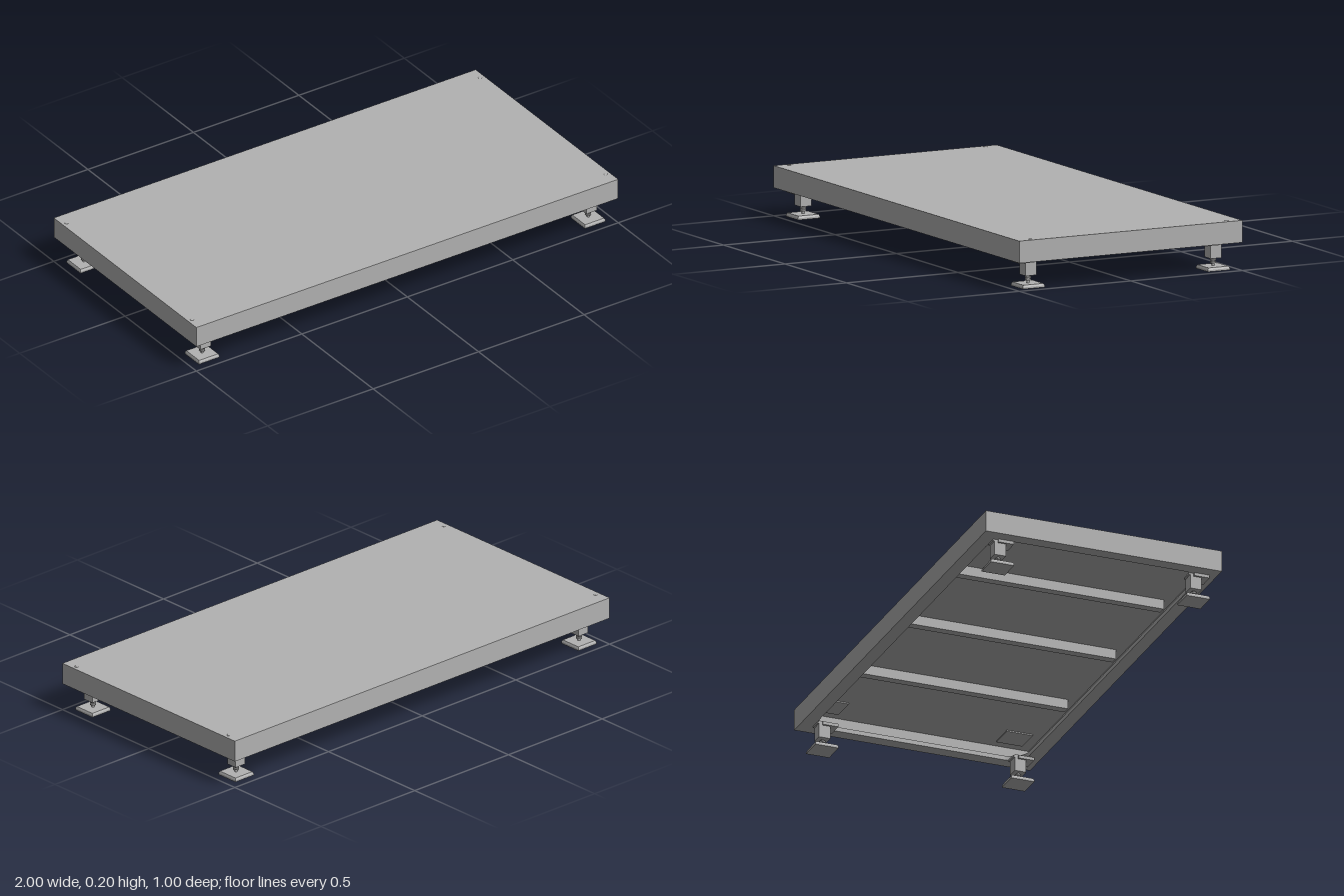
import * as THREE from 'three';

export function createModel() {
  const model = new THREE.Group();
  model.name = 'platform';
  const steel = new THREE.MeshStandardMaterial({ color: 0xb2b2b2 });
  steel.name = 'grey steel';

  const add = (parent, name, geometry, x, y, z) => {
    const mesh = new THREE.Mesh(geometry, steel);
    mesh.name = name;
    mesh.position.set(x, y, z);
    parent.add(mesh);
    return mesh;
  };
  const box = (parent, name, w, h, d, x, y, z) =>
    add(parent, name, new THREE.BoxGeometry(w, h, d), x, y, z);

  // Deck and its hollow skirt
  box(model, 'deck', 2, 0.012, 1, 0, 0.194, 0);
  for (const s of [-1, 1]) {
    box(model, 'longSkirt', 2, 0.076, 0.012, 0, 0.15, s * 0.494);
    box(model, 'endSkirt', 0.012, 0.076, 0.976, s * 0.994, 0.15, 0);
  }

  // Inward lip along the lower edge, rounded at the corners
  const lip = new THREE.Shape([
    new THREE.Vector2(-1, -0.5), new THREE.Vector2(1, -0.5),
    new THREE.Vector2(1, 0.5), new THREE.Vector2(-1, 0.5),
  ]);
  const X = 0.945, Z = 0.445, R = 0.08;
  const opening = new THREE.Path();
  opening.absarc(X - R, Z - R, R, 0, Math.PI / 2);
  opening.absarc(-X + R, Z - R, R, Math.PI / 2, Math.PI);
  opening.absarc(-X + R, -Z + R, R, Math.PI, Math.PI * 1.5);
  opening.absarc(X - R, -Z + R, R, Math.PI * 1.5, Math.PI * 2);
  opening.closePath();
  lip.holes.push(opening);
  const lipGeometry = new THREE.ExtrudeGeometry(lip, { depth: 0.018, bevelEnabled: false, curveSegments: 8 });
  lipGeometry.rotateX(-Math.PI / 2);
  add(model, 'lowerLip', lipGeometry, 0, 0.112, 0);

  // Cross beams under the deck
  for (const x of [-0.5, 0, 0.5]) box(model, 'crossBeam', 0.035, 0.04, 0.9, x, 0.168, 0);

  // Levelling feet
  for (const sx of [-1, 1]) {
    for (const sz of [-1, 1]) {
      const foot = new THREE.Group();
      foot.name = 'levellingFoot';
      foot.position.set(sx * 0.915, 0, sz * 0.415);
      model.add(foot);

      box(foot, 'footPlate', 0.098, 0.007, 0.098, 0, 0.0035, 0);
      const taper = new THREE.CylinderGeometry(0.045 * Math.SQRT2, 0.049 * Math.SQRT2, 0.008, 4).toNonIndexed();
      taper.rotateY(Math.PI / 4);
      taper.computeVertexNormals();
      add(foot, 'footBevel', taper, 0, 0.011, 0);
      add(foot, 'threadedRod', new THREE.CylinderGeometry(0.006, 0.006, 0.04, 12), 0, 0.033, 0);
      for (const y of [0.028, 0.038])
        add(foot, 'nut', new THREE.CylinderGeometry(0.012, 0.012, 0.006, 12), 0, y, 0);

      box(foot, 'legTube', 0.05, 0.07, 0.048, 0, 0.082, 0);
      box(foot, 'mountingFlange', 0.068, 0.013, 0.065, 0, 0.106, 0.022);
      box(foot, 'flangeTab', 0.05, 0.008, 0.022, 0, 0.109, -0.019);

      // Reinforcing pad and bolt head through the deck
      box(model, 'cornerPad', 0.11, 0.006, 0.11, sx * 0.89, 0.186, sz * 0.39);
      const bolt = add(model, 'boltHead', new THREE.SphereGeometry(0.008, 12, 4, 0, Math.PI * 2, 0, Math.PI / 2),
        sx * 0.98, 0.2, sz * 0.44);
      bolt.scale.y = 0.3;
    }
  }
  return model;
}
